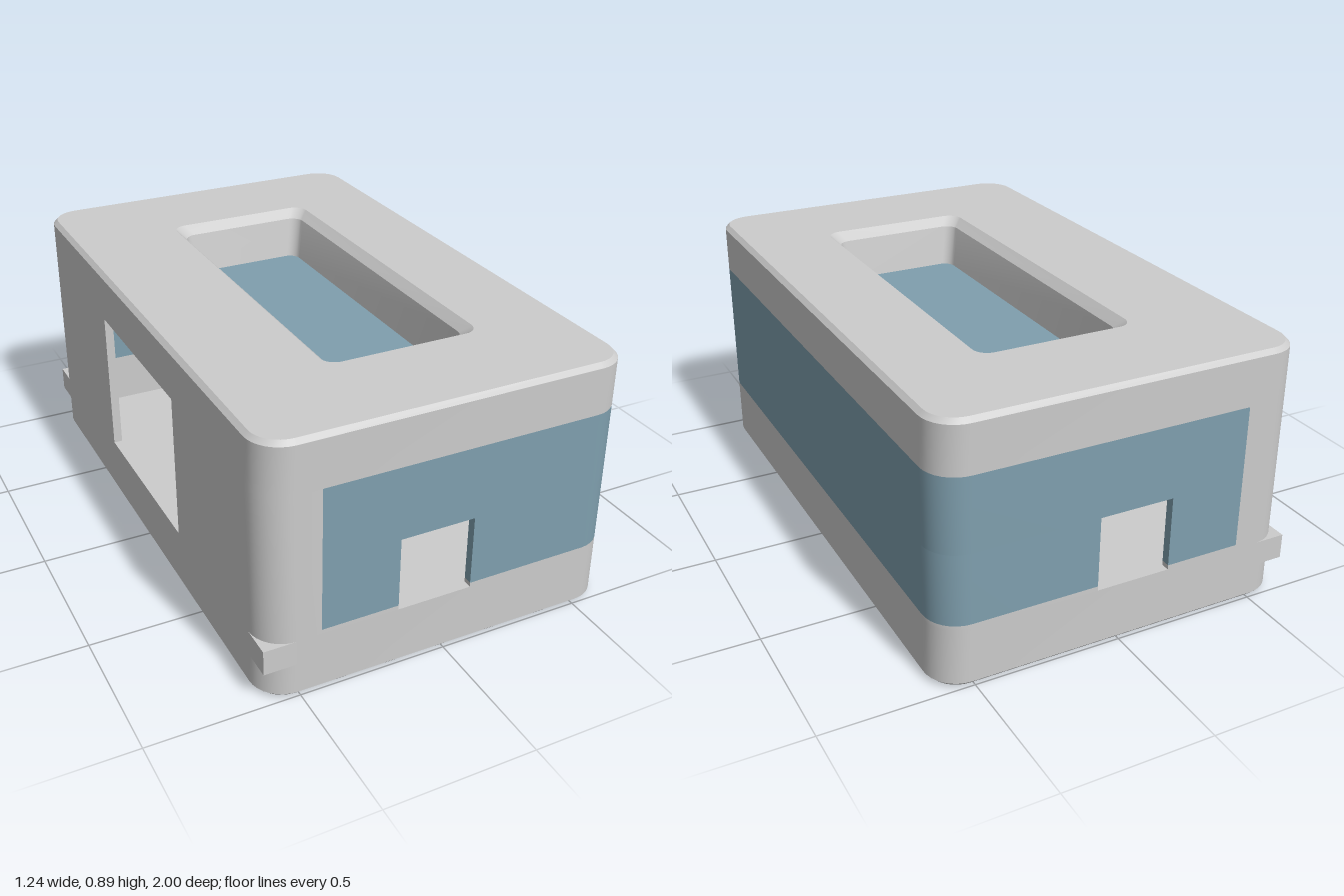
import * as THREE from 'three';
import { toCreasedNormals } from 'three/addons/utils/BufferGeometryUtils.js';

const W = 0.62, D = 1, R = 0.11, T = 0.03; // half width, half depth, corner radius, wall
const BOTTOM = 0.205, BAND = 0.22, HOLE_TOP = 0.46, BAND_TOP = 0.71, TOP = 0.885;
const grey = new THREE.MeshStandardMaterial({ color: 0xcccccc });
const blue = new THREE.MeshStandardMaterial({ color: 0x7f9fae });
const pale = new THREE.MeshStandardMaterial({ color: 0xa8d4d8 });

// points along an arc in plan
function arc(cx, cz, r, a0, a1, n = 8) {
  return Array.from({ length: n + 1 }, (_, i) => {
    const a = a0 + (a1 - a0) * i / n;
    return new THREE.Vector2(cx + r * Math.cos(a), cz + r * Math.sin(a));
  });
}

// rounded rectangle in plan, from +x towards +z
function roundRect(x0, x1, hz, r) {
  const q = Math.PI / 2;
  return [
    ...arc(x1 - r, hz - r, r, 0, q), ...arc(x0 + r, hz - r, r, q, 2 * q),
    ...arc(x0 + r, -hz + r, r, 2 * q, 3 * q), ...arc(x1 - r, -hz + r, r, 3 * q, 4 * q),
  ];
}

// skin over rounded rectangles given as [x0, x1, halfDepth, radius, y]
function loft(rings) {
  const pos = [], idx = [];
  let n = 0;
  for (const [x0, x1, hz, r, y] of rings) {
    const pts = roundRect(x0, x1, hz, r);
    n = pts.length;
    pts.forEach(p => pos.push(p.x, y, p.y));
  }
  for (let k = 0; k < rings.length - 1; k++) {
    for (let i = 0; i < n; i++) {
      const a = k * n + i, b = k * n + (i + 1) % n;
      idx.push(a, a + n, b, b, a + n, b + n);
    }
  }
  const g = new THREE.BufferGeometry();
  g.setAttribute('position', new THREE.Float32BufferAttribute(pos, 3));
  g.setIndex(idx);
  return toCreasedNormals(g, 0.5);
}

// plan outline raised from y0 to y1
function raise(points, y0, y1) {
  const g = new THREE.ExtrudeGeometry(new THREE.Shape(points), { depth: y1 - y0, bevelEnabled: false });
  g.rotateX(-Math.PI / 2).translate(0, y0, 0);
  return toCreasedNormals(g, 0.5);
}

// wall running from x = xa on the front, round the +x side, to x = xa on the back
function uWall(xa) {
  const q = Math.PI / 2, V = (x, z) => new THREE.Vector2(x, z), cx = W - R, cz = D - R;
  return [
    V(xa, D), ...arc(cx, cz, R, q, 0), ...arc(cx, -cz, R, 0, -q), V(xa, -D),
    V(xa, -D + T), ...arc(cx, -cz, R - T, -q, 0), ...arc(cx, cz, R - T, 0, q), V(xa, D - T),
  ];
}

// corner post on the -x side, s = +1 or -1 along z
function post(s) {
  const q = Math.PI / 2, V = (x, z) => new THREE.Vector2(x, z), cx = -W + R, cz = D - R;
  return [
    V(-0.43, D), ...arc(cx, cz, R, q, 2 * q), V(-W, 0.33),
    V(-W + T, 0.33), ...arc(cx, cz, R - T, 2 * q, q), V(-0.43, D - T),
  ].map(p => V(p.x, p.y * s));
}

export function createModel() {
  const group = new THREE.Group();
  const add = (name, geo, mat) => {
    const m = new THREE.Mesh(geo, mat);
    m.name = name;
    group.add(m);
    return m;
  };
  const box = (name, x0, x1, y0, y1, z0, z1, mat) =>
    add(name, new THREE.BoxGeometry(x1 - x0, y1 - y0, z1 - z0), mat)
      .position.set((x0 + x1) / 2, (y0 + y1) / 2, (z0 + z1) / 2);

  // hollow tray with a chamfered foot
  const c = 0.015;
  add('baseTray', loft([
    [0, 0, 0, 0, 0],
    [-W + c, W - c, D - c, R - c, 0],
    [-W, W, D, R, c],
    [-W, W, D, R, BOTTOM],
    [-W + T, W - T, D - T, R - T, BOTTOM],
    [-W + T, W - T, D - T, R - T, T],
    [0, 0, 0, 0, T],
  ]), grey);

  // thick roof with a sloping rectangular well
  add('roof', loft([
    [-0.18, 0.25, 0.58, 0.04, BAND_TOP],
    [-W, W, D, R, BAND_TOP],
    [-W, W, D, R, TOP - c],
    [-W + c, W - c, D - c, R - c, TOP],
    [-0.235, 0.305, 0.64, 0.05, TOP],
    [-0.205, 0.275, 0.605, 0.045, TOP - 0.03],
    [-0.18, 0.25, 0.58, 0.04, BAND_TOP],
  ]), grey);
  add('roofPanel', raise(roundRect(-0.18, 0.25, 0.58, 0.04), BAND_TOP - 0.012, BAND_TOP + 0.002), blue);

  // band round front, side and back, with a square hole at each end
  add('sill', raise(uWall(0.085), BOTTOM, BAND), grey);
  add('bandLower', raise(uWall(0.085), BAND, HOLE_TOP), blue);
  add('bandUpper', raise(uWall(-0.43), HOLE_TOP, BAND_TOP), blue);

  for (const s of [1, -1]) {
    const z0 = s > 0 ? D - T : -D, z1 = z0 + T;
    box('endSill', -0.43, -0.17, BOTTOM, BAND, z0, z1, grey);
    box('endBand', -0.43, -0.17, BAND, HOLE_TOP, z0, z1, blue);
    // posts either side of the large side opening
    add('cornerPost', raise(post(s), BOTTOM, BAND_TOP), grey);
    // square tab filling out the rounded corner
    const t0 = s > 0 ? D - R : -D;
    box('cornerTab', -W, -W + R, 0.12, BOTTOM, t0, t0 + R, grey);
    // small pads under the base
    for (const x of [-0.31, 0.31]) {
      box('basePad', x - 0.025, x + 0.025, -0.001, 0.01, s * 0.73 - 0.025, s * 0.73 + 0.025, pale);
    }
  }
  return group;
}
